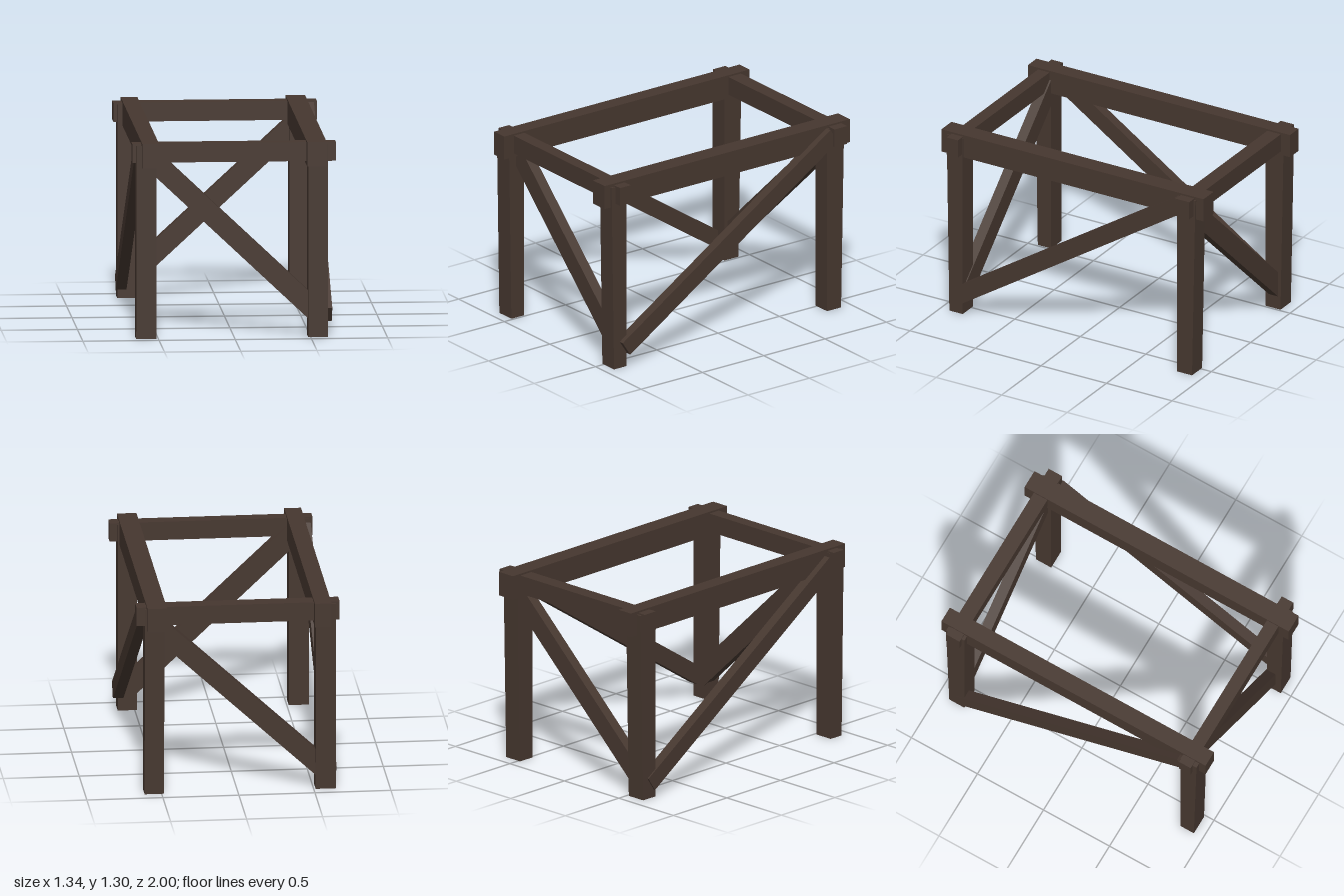
import * as THREE from 'three';

export function createModel() {
  const group = new THREE.Group();
  const wood = new THREE.MeshStandardMaterial({ color: 0x46372f });
  wood.name = 'dark wood';

  const add = (name, geometry) => {
    const mesh = new THREE.Mesh(geometry, wood);
    mesh.name = name;
    group.add(mesh);
    return mesh;
  };

  // Box given by its limits on each axis
  const block = (name, [x0, x1], [y0, y1], [z0, z1]) => {
    const g = new THREE.BoxGeometry(x1 - x0, y1 - y0, z1 - z0);
    g.translate((x0 + x1) / 2, (y0 + y1) / 2, (z0 + z1) / 2);
    return add(name, g);
  };

  // Diagonal plank between two points, with its width in the vertical plane
  const brace = (name, from, to, width, thickness) => {
    const a = new THREE.Vector3(...from), b = new THREE.Vector3(...to);
    const mesh = add(name, new THREE.BoxGeometry(thickness, width, a.distanceTo(b)));
    mesh.position.copy(a).add(b).multiplyScalar(0.5);
    mesh.lookAt(b);
    return mesh;
  };

  // Legs, with the outer face leaning in slightly toward the ground
  const leg = (name, x, inner, outerTop, outerBottom) => {
    const mesh = block(name, x, [0, 1.28], [Math.min(inner, outerTop), Math.max(inner, outerTop)]);
    const p = mesh.geometry.attributes.position;
    for (let i = 0; i < p.count; i++) {
      if (p.getY(i) < 0.1 && Math.abs(p.getZ(i)) > 0.9) p.setZ(i, outerBottom);
    }
    mesh.geometry.computeVertexNormals();
  };
  for (const [side, x] of [['Right', [-0.645, -0.513]], ['Left', [0.484, 0.612]]]) {
    leg('front' + side + 'Leg', x, 0.83, 0.952, 0.932);
    leg('back' + side + 'Leg', x, -0.806, -0.945, -0.92);
  }

  // Top frame
  block('rightRail', [-0.61, -0.5], [1.14, 1.302], [-1, 1]);
  block('leftRail', [0.472, 0.6], [1.14, 1.302], [-1, 1]);
  block('frontRail', [-0.67, 0.665], [1.165, 1.29], [0.835, 0.922]);
  block('backRail', [-0.67, 0.665], [1.165, 1.29], [-0.93, -0.828]);

  // One diagonal brace on each side
  brace('frontBrace', [-0.56, 1.2, 0.858], [0.56, 0.14, 0.858], 0.134, 0.07);
  brace('backBrace', [0.56, 1.173, -0.866], [-0.56, 0.137, -0.866], 0.13, 0.07);
  brace('leftBrace', [0.61, 0.136, 0.855], [0.61, 1.236, -0.84], 0.113, 0.07);
  brace('rightBrace', [-0.62, 0.095, -0.85], [-0.62, 1.215, 0.84], 0.11, 0.07);

  return group;
}
